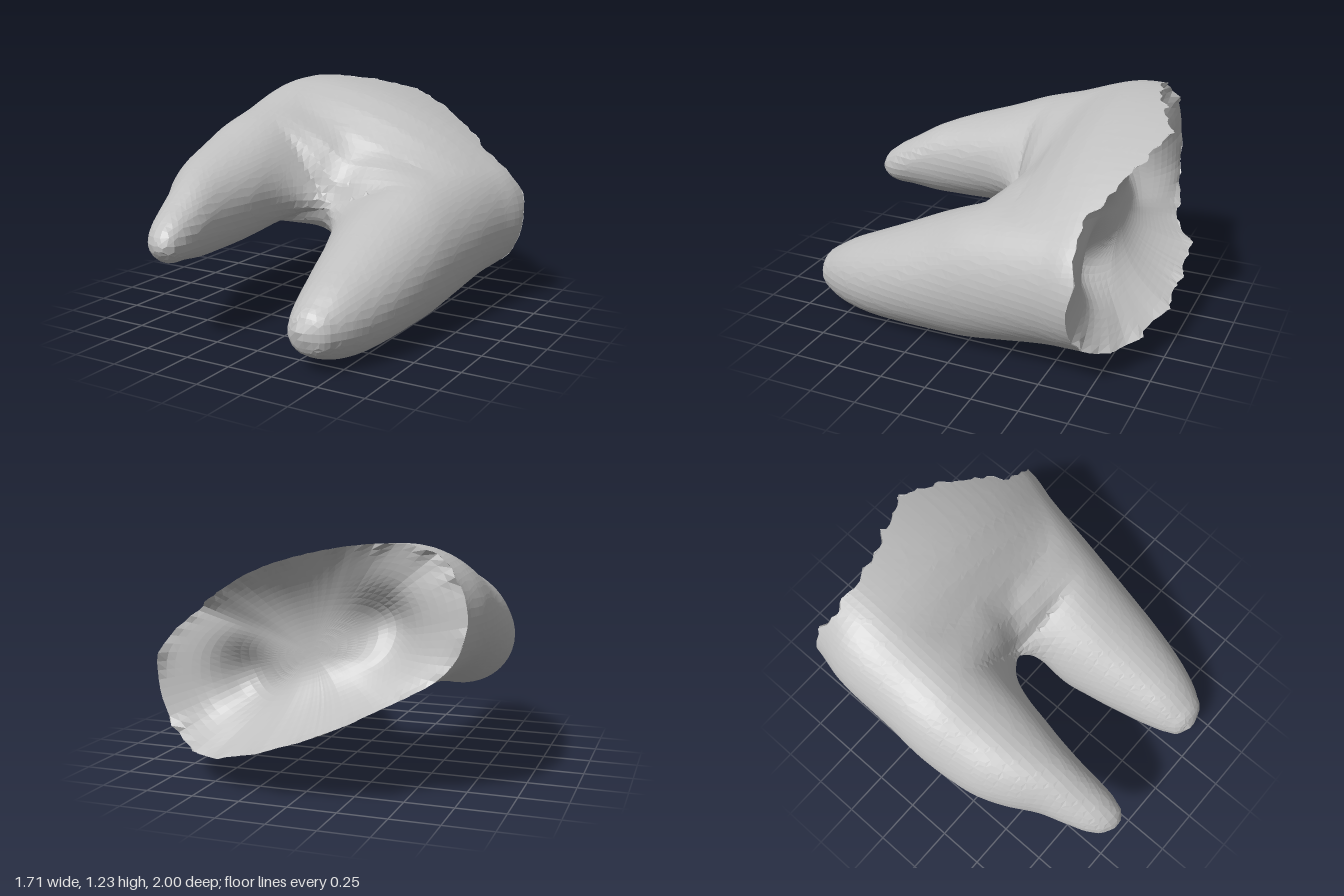
import * as THREE from 'three';

const { smoothstep, lerp } = THREE.MathUtils;

// Turns rows of [key, ...values] into an interpolating function of the key
function curve(Type, rows) {
  const values = rows.flatMap(r => r.slice(1));
  const interpolant = new Type(rows.map(r => r[0]), values, rows[0].length - 1);
  return t => interpolant.evaluate(t);
}

// Root cross-sections along z: [z, centreX, centreY, radiusX, radiusY]
const leftRoot = curve(THREE.CubicInterpolant, [
  [-1.1, -.43, .88, .33, .34], [-.75, -.45, .88, .345, .35], [-.55, -.48, .88, .36, .335],
  [-.2, -.52, .8, .325, .3], [0, -.54, .74, .31, .3], [.2, -.535, .68, .295, .285],
  [.35, -.53, .65, .27, .265], [.5, -.51, .625, .225, .24], [.65, -.475, .6, .172, .205],
  [.8, -.45, .57, .14, .15], [.93, -.43, .54, .1, .1], [.98, -.42, .535, .06, .055],
  [1, -.42, .53, .015, .015]]);
const rightRoot = curve(THREE.CubicInterpolant, [
  [-1.1, .5, .5, .36, .34], [-.65, .5, .5, .35, .355], [-.5, .475, .48, .335, .36],
  [-.2, .44, .42, .32, .365], [0, .42, .375, .31, .36], [.2, .39, .325, .315, .325],
  [.4, .395, .28, .28, .28], [.6, .4, .24, .232, .232], [.75, .397, .218, .185, .185],
  [.85, .39, .205, .14, .135], [.915, .385, .2, .09, .085], [.945, .385, .2, .015, .015]]);
const LEFT_TIP = 1, RIGHT_TIP = .945, CROTCH = -.02;

// How far the web between the roots is pinched: below 0 it bulges, above 1 it is open
const pinch = curve(THREE.LinearInterpolant, [
  [-1.1, -.2], [-.5, -.16], [-.38, -.08], [-.25, .1], [-.12, .4], [-.05, .7], [CROTCH, 1],
  [.06, 1.6], [.15, 2.8], [.3, 4]]);

// Rear rim depth as [x, z], for the upper and the lower lip
const rimTop = curve(THREE.LinearInterpolant, [
  [-.85, -.74], [-.65, -.68], [-.4, -.71], [-.2, -.78], [0, -.88], [.1, -.9],
  [.3, -.82], [.45, -.76], [.6, -.66], [.85, -.67]]);
const rimLow = curve(THREE.LinearInterpolant, [
  [-.85, -.74], [-.7, -.78], [-.56, -.81], [-.42, -.85], [-.27, -.97], [-.1, -.97],
  [.15, -.97], [.4, -.89], [.55, -.82], [.7, -.72], [.85, -.67]]);

// Body distance, negative inside: ellipses swept from the left root to the right
// one, with a rounded fillet where the roots part
function body(x, y, z) {
  const L = leftRoot(z), R = rightRoot(z), p = pinch(z)[0], steps = 28;
  let best = 9, roots = 9, web = 9;
  for (let n = 0; n <= steps; n++) {
    const t = n / steps, arch = 4 * t * (1 - t), scale = 1 - p * arch;
    const middle = Math.abs(t - .5) < .16;
    if (scale < .02 && !middle) continue;
    const rx = Math.max(lerp(L[2], R[2], t) * scale, .008);
    const ry = Math.max(lerp(L[3], R[3], t) * scale, .008);
    const dx = x - lerp(L[0], R[0], t);
    const dy = y - lerp(L[1], R[1], t) - .03 * arch;
    let d = (Math.hypot(dx / rx, dy / ry) - 1) * Math.min(rx, ry);
    if (middle) {
      if (z > CROTCH) d = Math.hypot(Math.max(d, 0), z - CROTCH);
      web = Math.min(web, d);
    } else {
      d = Math.max(d, z - (t < .5 ? LEFT_TIP : RIGHT_TIP));
    }
    if (n === 0 || n === steps) roots = Math.min(roots, d);
    best = Math.min(best, d);
  }
  const k = lerp(.02, .35, smoothstep(z, -.45, -.02));
  const h = Math.max(k - Math.abs(roots - web), 0) / k;
  return Math.min(best, Math.min(roots, web) - h * h * k / 4);
}

// Depth of the rear rim, and the ragged teeth along it
function smoothRim(x, y) {
  const t = smoothstep(y - (.68 - .42 * x), -.25, .25);
  return lerp(rimLow(x)[0], rimTop(x)[0], t);
}
function teeth(x, y) {
  return .03 * Math.max(0, Math.sin(31 * x + 11 * y)) ** 4 + .015 * Math.max(0, Math.sin(53 * x - 17 * y)) ** 4;
}
const rim = (x, y) => smoothRim(x, y) - teeth(x, y);

// Move a point onto the body surface, optionally only within its z slice
function project(p, flat) {
  const e = .004;
  for (let n = 0; n < 4; n++) {
    const [x, y, z] = p, d = body(x, y, z);
    const g = [
      body(x + e, y, z) - body(x - e, y, z),
      body(x, y + e, z) - body(x, y - e, z),
      flat ? 0 : body(x, y, z + e) - body(x, y, z - e)].map(v => v / (2 * e));
    const g2 = g[0] ** 2 + g[1] ** 2 + g[2] ** 2;
    if (g2 < 1e-4) return;
    let s = -d / g2;
    const len = Math.abs(s) * Math.sqrt(g2);
    if (len > .03) s *= .03 / len;
    for (let a = 0; a < 3; a++) p[a] += g[a] * s;
  }
}

function makeGeometry(points, index) {
  const g = new THREE.BufferGeometry();
  g.setAttribute('position', new THREE.Float32BufferAttribute(points.flat(), 3));
  g.setIndex(index);
  g.computeVertexNormals();
  return g;
}

// Outer skin: a net of quads around the body, trimmed at the rear rim
function outerSkin() {
  const step = .04, N = [52, 40, 56], O = [-1.03, -.12, -1.13];
  const stride = [1, N[0], N[0] * N[1]];
  const field = new Float32Array(N[0] * N[1] * N[2]);
  const id = (i, j, k) => i + j * stride[1] + k * stride[2];
  for (let k = 0; k < N[2]; k++) for (let j = 0; j < N[1]; j++) for (let i = 0; i < N[0]; i++)
    field[id(i, j, k)] = body(O[0] + i * step, O[1] + j * step, O[2] + k * step);

  const points = [], behind = [], cell = new Map();
  for (let k = 0; k < N[2] - 1; k++) for (let j = 0; j < N[1] - 1; j++) for (let i = 0; i < N[0] - 1; i++) {
    const base = id(i, j, k), sum = [0, 0, 0];
    let count = 0;
    for (let c = 0; c < 8; c++) for (let a = 0; a < 3; a++) {
      if (c >> a & 1) continue;
      const q = [c & 1, c >> 1 & 1, c >> 2 & 1];
      const m = base + q[0] + q[1] * stride[1] + q[2] * stride[2];
      const f0 = field[m], f1 = field[m + stride[a]];
      if ((f0 < 0) === (f1 < 0)) continue;
      q[a] = f0 / (f0 - f1);
      for (let b = 0; b < 3; b++) sum[b] += q[b];
      count++;
    }
    if (!count) continue;
    const p = [i, j, k].map((v, a) => O[a] + (v + sum[a] / count) * step);
    project(p, false);
    const cut = p[2] < rim(p[0], p[1]);
    if (cut) for (let n = 0; n < 3; n++) {
      p[2] = rim(p[0], p[1]);
      project(p, true);
    }
    cell.set(base, points.length);
    points.push(p);
    behind.push(cut);
  }

  const index = [];
  for (let k = 1; k < N[2] - 1; k++) for (let j = 1; j < N[1] - 1; j++) for (let i = 1; i < N[0] - 1; i++) {
    const m = id(i, j, k);
    for (let a = 0; a < 3; a++) {
      const inside = field[m] < 0;
      if (inside === (field[m + stride[a]] < 0)) continue;
      const b = stride[(a + 1) % 3], c = stride[(a + 2) % 3];
      const quad = [m - b - c, m - c, m, m - b].map(v => cell.get(v));
      if (quad.some(v => v === undefined) || quad.every(v => behind[v])) continue;
      if (!inside) quad.reverse();
      const [p, q, r, s] = quad;
      index.push(p, q, r, p, r, s);
    }
  }
  return makeGeometry(points, index);
}

// Rear hollow: rings from the rim down to a floor with a pit above each root;
// the lip is thin above and below and rolls over thickly at both ends
function hollow() {
  const cx = 0, cy = .68, sides = 112, rings = 18, points = [], index = [];
  const pit = (x, y, px, py) => Math.exp(-((x - px) ** 2 + (y - py) ** 2) / .03);
  for (let j = 0; j < sides; j++) {
    const t = j / sides * Math.PI * 2, ux = Math.cos(t), uy = Math.sin(t);
    let R = .1;
    const at = r => body(cx + ux * r, cy + uy * r, rim(cx + ux * r, cy + uy * r));
    while (R < 1.2 && at(R) < 0) R += .003;
    const ex = cx + ux * R, ey = cy + uy * R, roll = smoothstep(Math.abs(ex), .4, .75);
    for (let i = 0; i <= rings; i++) {
      const s = 1 - i / rings, x = cx + ux * R * s, y = cy + uy * R * s;
      const floor = -.67 + .13 * (pit(x, y, -.36, .84) + pit(x, y, .38, .52));
      const w = lerp(s ** 2.5, smoothstep(s, .45, .97), roll);
      points.push([x, y, lerp(floor, smoothRim(ex, ey), w) - teeth(ex, ey) * s ** 24]);
    }
  }
  const row = rings + 1;
  for (let j = 0; j < sides; j++) for (let i = 0; i < rings; i++) {
    const a = j * row + i, b = (j + 1) % sides * row + i;
    index.push(a, a + 1, b);
    if (i < rings - 1) index.push(b, a + 1, b + 1);
  }
  return makeGeometry(points, index);
}

export function createModel() {
  const grey = new THREE.MeshStandardMaterial({ color: 0xbfbfbf, flatShading: true, side: THREE.DoubleSide });
  grey.name = 'light grey';
  const group = new THREE.Group();
  group.name = 'twoRootedShell';
  for (const [name, geometry] of [['outerSkin', outerSkin()], ['rearHollow', hollow()]]) {
    const mesh = new THREE.Mesh(geometry, grey);
    mesh.name = name;
    group.add(mesh);
  }
  return group;
}
